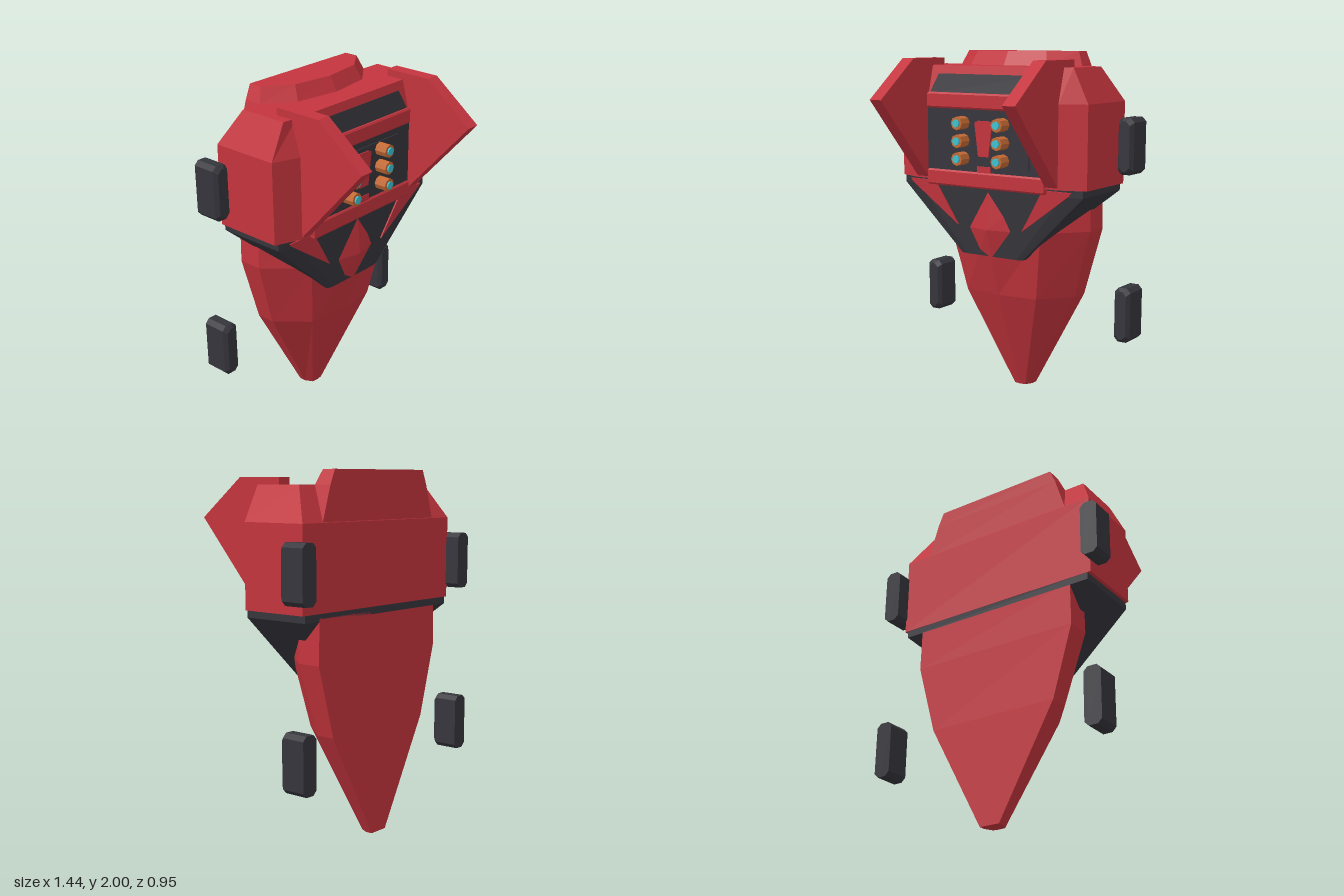
import * as THREE from 'three';

const mat = (name, color) => {
  const m = new THREE.MeshStandardMaterial({ color });
  m.name = name;
  return m;
};

// Skin convex rings (counter-clockwise seen from above) and cap both ends, with flat facets
function loft(rings) {
  const p = [];
  const tri = (a, b, c) => p.push(...a, ...b, ...c);
  const n = rings[0].length;
  for (let r = 0; r < rings.length - 1; r++) {
    for (let i = 0; i < n; i++) {
      const j = (i + 1) % n, lo = rings[r], hi = rings[r + 1];
      tri(lo[i], lo[j], hi[j]);
      tri(lo[i], hi[j], hi[i]);
    }
  }
  const bottom = rings[0], top = rings[rings.length - 1];
  for (let i = 1; i < n - 1; i++) {
    tri(bottom[0], bottom[i + 1], bottom[i]);
    tri(top[0], top[i], top[i + 1]);
  }
  const g = new THREE.BufferGeometry();
  g.setAttribute('position', new THREE.Float32BufferAttribute(p, 3));
  g.computeVertexNormals();
  return g;
}

// Mirror the +x half of a cross-section (listed front to back) into a full ring at height y
function ring(y, half) {
  const right = half.map(([x, z]) => [x, y, z]);
  const left = half.filter(([x]) => x > 0).map(([x, z]) => [-x, y, z]).reverse();
  return [...right, ...left];
}

function prism(points, depth) {
  const shape = new THREE.Shape(points.map(([x, y]) => new THREE.Vector2(x, y)));
  return new THREE.ExtrudeGeometry(shape, { depth, bevelEnabled: false });
}

// Flat-sided octagonal rod along z
function rod(radius, length) {
  const g = new THREE.CylinderGeometry(radius, radius, length, 8).toNonIndexed();
  g.rotateX(Math.PI / 2);
  g.computeVertexNormals();
  return g;
}

// Chamfered octagonal section of a side pod, inset by k, at depth d
function podSection(d, k) {
  const w = 0.05 - k, h = 0.158 - k, c = 0.024;
  return [[w - c, h], [w, h - c], [w, c - h], [w - c, -h],
    [c - w, -h], [-w, c - h], [-w, h - c], [c - w, h]].map(([x, y]) => [x, d, y]);
}

export function createModel() {
  const red = mat('red', 0xc4343d);
  const dark = mat('charcoal', 0x35353c);
  const orange = mat('orange', 0xc46a34);
  const cyan = mat('cyan', 0x3fc2d2);
  const model = new THREE.Group();
  const add = (name, geometry, material, x = 0, y = 0, z = 0) => {
    const m = new THREE.Mesh(geometry, material);
    m.name = name;
    m.position.set(x, y, z);
    model.add(m);
    return m;
  };

  // Tapered core hull: height, half-width, front z, facet z, side z
  const core = [
    [0, 0.06, -0.3, -0.305, -0.35],
    [0.6, 0.39, -0.07, -0.1, -0.28],
    [1.0, 0.505, 0.05, -0.03, -0.25],
    [1.25, 0.5, 0.03, -0.04, -0.25],
    [1.73, 0.475, -0.03, -0.09, -0.27],
    [1.92, 0.415, -0.12, -0.16, -0.285],
    [2.0, 0.38, -0.165, -0.2, -0.31],
  ];
  add('coreHull', loft(core.map(([y, w, zc, zm, zs]) =>
    ring(y, [[0, zc], [0.62 * w, zm], [w, zs], [w, -0.39]]))), red);

  // Wide upper block with chamfered shoulders
  add('shoulderBlock', loft([
    ring(1.27, [[0.48, 0.065], [0.63, 0.01], [0.63, -0.392]]),
    ring(1.73, [[0.48, 0.065], [0.63, 0.01], [0.63, -0.392]]),
    ring(1.92, [[0.45, 0.015], [0.535, 0.005], [0.535, -0.285]]),
  ]), red);

  // Dark apron narrowing below the block; the hull ridge breaks through as a diamond
  add('apron', loft([
    ring(0.84, [[0.17, 0], [0.21, -0.008], [0.21, -0.04]]),
    ring(1.23, [[0.5, 0.034], [0.61, 0.016], [0.61, -0.39]]),
    ring(1.27, [[0.5, 0.036], [0.61, 0.016], [0.61, -0.39]]),
  ]), dark);

  const podGeometry = loft([podSection(-0.16, 0), podSection(-0.022, 0), podSection(0, 0.018)]);
  podGeometry.rotateX(Math.PI / 2);

  for (const s of [1, -1]) {
    // Red wedges lying on the apron
    const pts = [[0.22, 0.17], [0.535, 0.4], [0.55, 0.42], [0.37, 0.42]];
    const wedge = add('apronWedge', prism(pts.map(([x, y]) => [s * x, y]), 0.008), red, 0, 0.84, 0);
    wedge.rotation.x = 0.087;

    // Upright pointed fins
    const fin = prism([[0.095, 1.96], [0.095, 1.4], [-0.065, 1.28], [-0.475, 1.74], [-0.19, 1.96]], 0.08);
    fin.rotateY(Math.PI / 2);
    add('fin', fin, red, s * 0.44 - 0.04);

    // Side pods, narrowing at the front
    for (const y of [0.523, 1.483]) add('sidePod', podGeometry, dark, s * 0.672, y, -0.315);

    // Control knobs with glowing tips
    for (const y of [1.405, 1.505, 1.605]) {
      add('knob', rod(0.038, 0.09), orange, s * 0.135, y, 0.102);
      add('knobTip', rod(0.023, 0.02), cyan, s * 0.135, y, 0.146);
    }
  }

  // Sloped window band on the upper front
  const band = add('windowBand',
    prism([[-0.39, 0], [0.39, 0], [0.345, 0.115], [-0.345, 0.115]], 0.008), dark, 0, 1.76, 0.053);
  band.rotation.x = -0.257;

  // Front panel framed by two rails
  add('frontPanel', new THREE.BoxGeometry(0.8, 0.36, 0.01), dark, 0, 1.505, 0.061);
  add('panelInset', new THREE.BoxGeometry(0.6, 0.285, 0.008), dark, 0, 1.502, 0.069);
  const rail = (y0, y1) => loft([
    ring(y0, [[0.392, 0.069], [0.392, 0.03]]),
    ring(y0 + 0.01, [[0.397, 0.076], [0.397, 0.03]]),
    ring(y1 - 0.01, [[0.397, 0.076], [0.397, 0.03]]),
    ring(y1, [[0.392, 0.069], [0.392, 0.03]]),
  ]);
  add('upperRail', rail(1.68, 1.77), red);
  add('lowerRail', rail(1.238, 1.33), red);
  add('panelEmblem', prism([[-0.035, 1.42], [0.035, 1.42], [0.06, 1.61],
    [0.035, 1.62], [-0.035, 1.62], [-0.06, 1.61]], 0.008), red, 0, 0, 0.072);
  add('panelTab', new THREE.BoxGeometry(0.09, 0.036, 0.009), red, 0, 1.347, 0.0725);

  return model;
}
